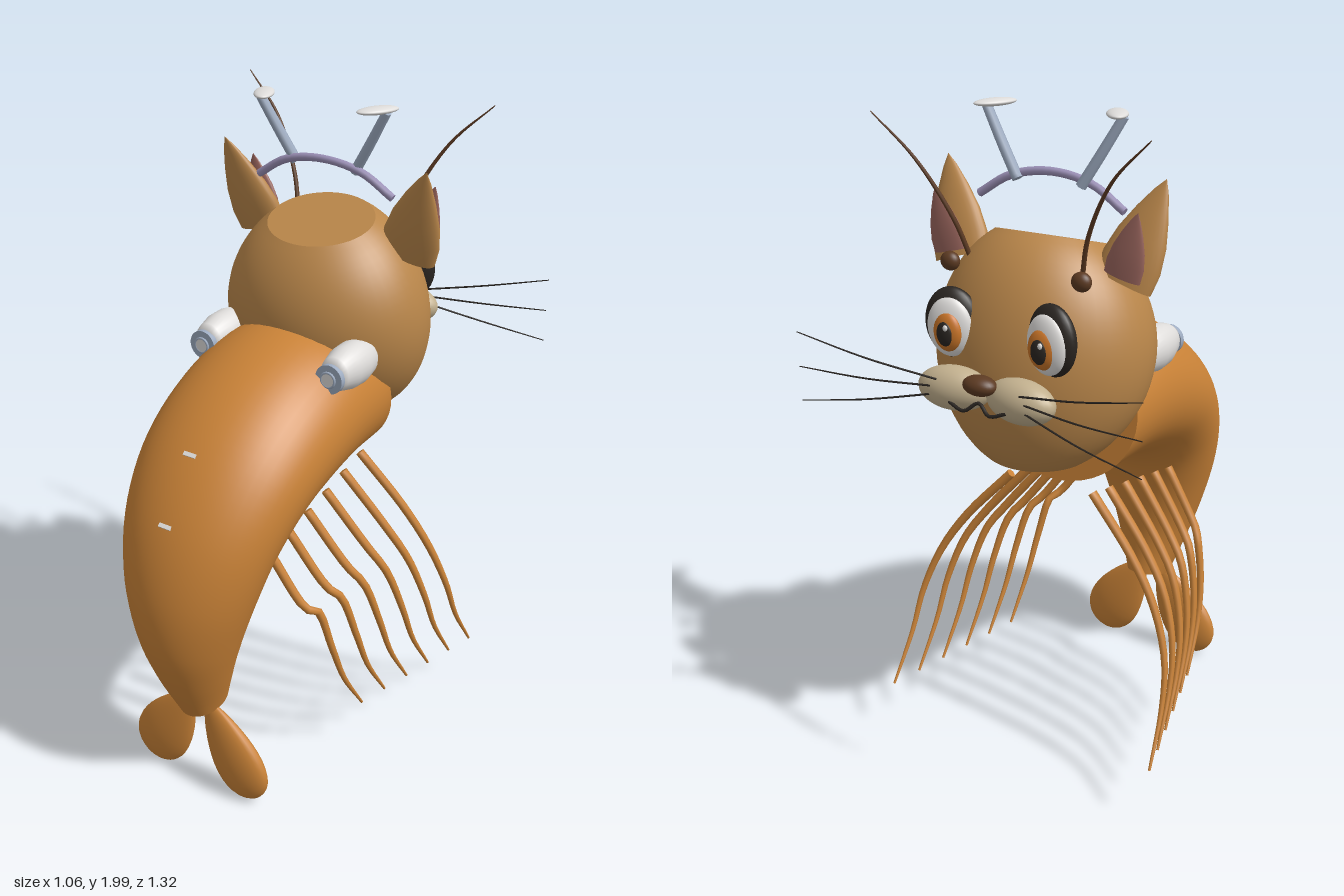
import * as THREE from 'three';

const mat = (name, color) => {
  const m = new THREE.MeshStandardMaterial({ color });
  m.name = name;
  return m;
};
const V = (x, y, z) => new THREE.Vector3(x, y, z);

// Skin closed rings of points, with flat separate caps
function loft(rings, capped = true) {
  const n = rings[0].length, pos = [], idx = [];
  rings.forEach(r => r.forEach(p => pos.push(p.x, p.y, p.z)));
  for (let i = 0; i < rings.length - 1; i++) for (let j = 0; j < n; j++) {
    const a = i * n + j, b = i * n + (j + 1) % n;
    idx.push(a, b, a + n, b, b + n, a + n);
  }
  if (capped) [rings[0], rings[rings.length - 1]].forEach((ring, end) => {
    const base = pos.length / 3, c = V(0, 0, 0);
    ring.forEach(p => { pos.push(p.x, p.y, p.z); c.addScaledVector(p, 1 / n); });
    pos.push(c.x, c.y, c.z);
    for (let j = 0; j < n; j++) {
      const a = base + j, b = base + (j + 1) % n;
      idx.push(base + n, end ? a : b, end ? b : a);
    }
  });
  const g = new THREE.BufferGeometry();
  g.setAttribute('position', new THREE.Float32BufferAttribute(pos, 3));
  g.setIndex(idx);
  g.computeVertexNormals();
  return g;
}

function ring(n, f) {
  return Array.from({ length: n }, (_, j) => f(Math.cos(j / n * 2 * Math.PI), Math.sin(j / n * 2 * Math.PI)));
}

// Tube along a smooth path, tapering from r0 to r1
function taperTube(points, r0, r1, segs = 20, sides = 8) {
  const curve = new THREE.CatmullRomCurve3(points);
  const { normals, binormals } = curve.computeFrenetFrames(segs);
  return loft(Array.from({ length: segs + 1 }, (_, i) => {
    const c = curve.getPointAt(i / segs), r = r0 + (r1 - r0) * (i / segs) ** 2;
    return ring(sides, (u, v) => c.clone().addScaledVector(normals[i], u * r).addScaledVector(binormals[i], v * r));
  }));
}

export function createModel() {
  const model = new THREE.Group();
  model.name = 'creature';
  const orange = mat('shellOrange', 0xc98237), brown = mat('furBrown', 0xb9864a);
  const white = mat('white', 0xdedcda), steel = mat('steelBlue', 0x9dabc0);
  const lilac = mat('lilac', 0x9d92b8), beige = mat('muzzleBeige', 0xc2b08e);
  const dark = mat('darkBrown', 0x5c3a22), black = mat('black', 0x2a2521);
  const pink = mat('innerEarPink', 0x98645c), amber = mat('irisAmber', 0xc87428);

  const add = (name, geo, material, p = [0, 0, 0], rot = [0, 0, 0]) => {
    const m = new THREE.Mesh(geo, material);
    m.name = name;
    m.position.set(...p);
    m.rotation.set(...rot);
    model.add(m);
    return m;
  };
  const ball = (name, material, p, r, rot) =>
    add(name, new THREE.SphereGeometry(1, 28, 18), material, p, rot).scale.set(...r);

  // Curved body: inner z, y, outer z, y, half width
  const stations = [
    [-0.2, 0.905, -0.15, 1.36, 0.265], [-0.05, 0.905, 0.05, 1.365, 0.28], [0.08, 0.885, 0.27, 1.29, 0.28],
    [0.2, 0.845, 0.46, 1.15, 0.268], [0.28, 0.77, 0.595, 0.96, 0.24], [0.33, 0.65, 0.655, 0.76, 0.2],
    [0.36, 0.5, 0.65, 0.58, 0.15], [0.365, 0.4, 0.6, 0.43, 0.11], [0.36, 0.32, 0.525, 0.28, 0.07]];
  const inner = new THREE.CatmullRomCurve3(stations.map(s => V(0, s[1], s[0])));
  const outer = new THREE.CatmullRomCurve3(stations.map(s => V(s[4], s[3], s[2])));
  const bodyRings = Array.from({ length: 41 }, (_, i) => {
    const a = inner.getPoint(i / 40), b = outer.getPoint(i / 40), w = b.x;
    b.x = 0;
    const c = a.clone().add(b).multiplyScalar(0.5), up = b.clone().sub(c);
    return ring(48, (u, v) => c.clone().addScaledVector(up, v).add(V(u * w, 0, 0)));
  });
  add('body', loft(bodyRings), orange);

  // Head: ellipsoid cut flat at crown and chin, the cuts tilting differently
  const headRings = Array.from({ length: 25 }, (_, i) => {
    const t = i / 24, a = (t * 2 - 1) * 1.03, h = 0.35 * Math.sin(a), k = Math.cos(a);
    const slope = -0.12 + 0.42 * t, cz = -0.28 + 0.095 * t;
    return ring(48, (u, v) => V(0.325 * k * u, 1.338 + h + slope * 0.265 * k * v, cz - 0.265 * k * v));
  });
  add('head', loft(headRings), brown);

  // Nose, mouth and headband
  ball('nose', dark, [0, 1.322, -0.567], [0.05, 0.028, 0.035]);
  add('mouth', taperTube([V(-0.09, 1.265, -0.582), V(-0.04, 1.25, -0.588), V(0, 1.275, -0.575),
    V(0.04, 1.25, -0.588), V(0.09, 1.265, -0.582)], 0.005, 0.005), black);
  add('headband', taperTube([V(-0.23, 1.735, -0.2), V(-0.13, 1.795, -0.193), V(0, 1.817, -0.188),
    V(0.13, 1.795, -0.193), V(0.23, 1.735, -0.2)], 0.012, 0.012), lilac);

  // Back marks
  [[1.14, 0.47], [0.97, 0.59]].forEach(([y, z]) =>
    add('backMark', new THREE.BoxGeometry(0.04, 0.006, 0.012), white, [0, y, z], [0.7, 0, 0]));

  const earProfile = [[0.088, 0], [0.09, 0.06], [0.076, 0.13], [0.05, 0.2], [0.022, 0.26], [0, 0.295]];
  const barrel = [[0, -0.1], [0.04, -0.1], [0.058, -0.07], [0.068, -0.02], [0.066, 0.03], [0.052, 0.08], [0.042, 0.1], [0, 0.1]];
  const lathe = pts => new THREE.LatheGeometry(pts.map(p => new THREE.Vector2(...p)), 28);

  for (const s of [1, -1]) {
    // Legs, front to back
    for (let i = 0; i < 6; i++) {
      const dz = 0.1 * i, dx = 0.024 * i, top = 0.895 - 0.023 * i;
      const path = [[0.14, top, -0.21], [0.29 - dx * 0.3, 0.73 - dx, -0.238], [0.375 - dx * 0.85, 0.6, -0.262],
        [0.427 - dx, 0.46, -0.295], [0.443 - dx, 0.33, -0.34], [0.455 - dx, 0.178, -0.435]];
      add('leg', taperTube(path.map(([x, y, z]) => V(s * x, y, z + dz)), 0.014, 0.004), orange);
    }

    // Tail fin, wider toward the tip
    const fin = new THREE.SphereGeometry(1, 24, 18), fp = fin.attributes.position;
    for (let i = 0; i < fp.count; i++) {
      const k = 1 - 0.4 * fp.getY(i);
      fp.setXYZ(i, fp.getX(i) * 0.088 * k, fp.getY(i) * 0.168, fp.getZ(i) * 0.036 * k);
    }
    fin.computeVertexNormals();
    add('tailFin', fin, orange, [s * 0.118, 0.16, 0.465], [0, 0, s * 0.53]);

    // Shoulder barrel with ringed end
    add('shoulder', lathe(barrel), white, [s * 0.222, 1.293, 0], [Math.PI / 2, 0, 0]).scale.x = 0.9;
    add('shoulderDisc', new THREE.CylinderGeometry(0.044, 0.044, 0.018, 28), steel, [s * 0.222, 1.288, 0.105], [Math.PI / 2, 0, 0]);
    add('shoulderHub', new THREE.CylinderGeometry(0.024, 0.024, 0.008, 24), white, [s * 0.222, 1.288, 0.116], [Math.PI / 2, 0, 0]);
    add('shoulderRing', new THREE.TorusGeometry(0.022, 0.004, 8, 24), steel, [s * 0.222, 1.288, 0.117]);

    // Ears
    add('ear', lathe(earProfile), brown, [s * 0.257, 1.56, -0.255], [0.26, 0, s * -0.3]).scale.z = 0.42;
    add('innerEar', lathe(earProfile), pink, [s * 0.272, 1.585, -0.29], [0, 0, s * -0.25]).scale.set(0.62, 0.62, 0.2);

    // Eyes
    ball('eyeRim', black, [s * 0.157, 1.44, -0.455], [0.08, 0.1, 0.038], [0, s * 0.2, 0]);
    ball('eyeWhite', white, [s * 0.152, 1.433, -0.475], [0.066, 0.084, 0.03], [0, s * 0.2, 0]);
    ball('iris', amber, [s * 0.15, 1.425, -0.493], [0.044, 0.056, 0.023]);
    ball('pupil', black, [s * 0.148, 1.423, -0.507], [0.026, 0.036, 0.014]);
    ball('eyeGlint', white, [s * 0.148 - 0.008, 1.442, -0.517], [0.007, 0.009, 0.005]);

    // Muzzle and whiskers
    ball('muzzle', beige, [s * 0.105, 1.285, -0.532], [0.108, 0.062, 0.058], [0, s * 0.1, 0]);
    [0.1, 0, -0.1].forEach(d => add('whisker', taperTube([V(s * 0.13, 1.3 + d * 0.2, -0.58),
      V(s * 0.33, 1.3 + d * 0.6, -0.627), V(s * 0.53, 1.31 + d, -0.662)], 0.003, 0.0015, 10, 5), black));

    // Feelers and brow dots
    add('feeler', taperTube([V(s * 0.175, 1.58, -0.33), V(s * 0.21, 1.7, -0.36),
      V(s * 0.3, 1.86, -0.4), V(s * 0.42, 1.978, -0.425)], 0.007, 0.0015), dark);
    ball('browDot', dark, [s * 0.206, 1.588, -0.388], [0.029, 0.027, 0.022]);

    // Headband posts with pointed caps
    add('post', taperTube([V(s * 0.1, 1.79, -0.205), V(s * 0.158, 1.885, -0.192), V(s * 0.215, 1.982, -0.178)], 0.016, 0.014), steel);
    ball('postCap', white, [s * 0.19, 1.985, -0.17], [0.03, 0.011, 0.066], [0, s * -0.5, 0]);

    // Side studs
    ball('stud', steel, [s * 0.145, 0.715, 0.375], [0.01, 0.01, 0.01]);
    ball('stud', steel, [s * 0.1, 0.835, 0.272], [0.012, 0.012, 0.012]);
  }
  return model;
}
